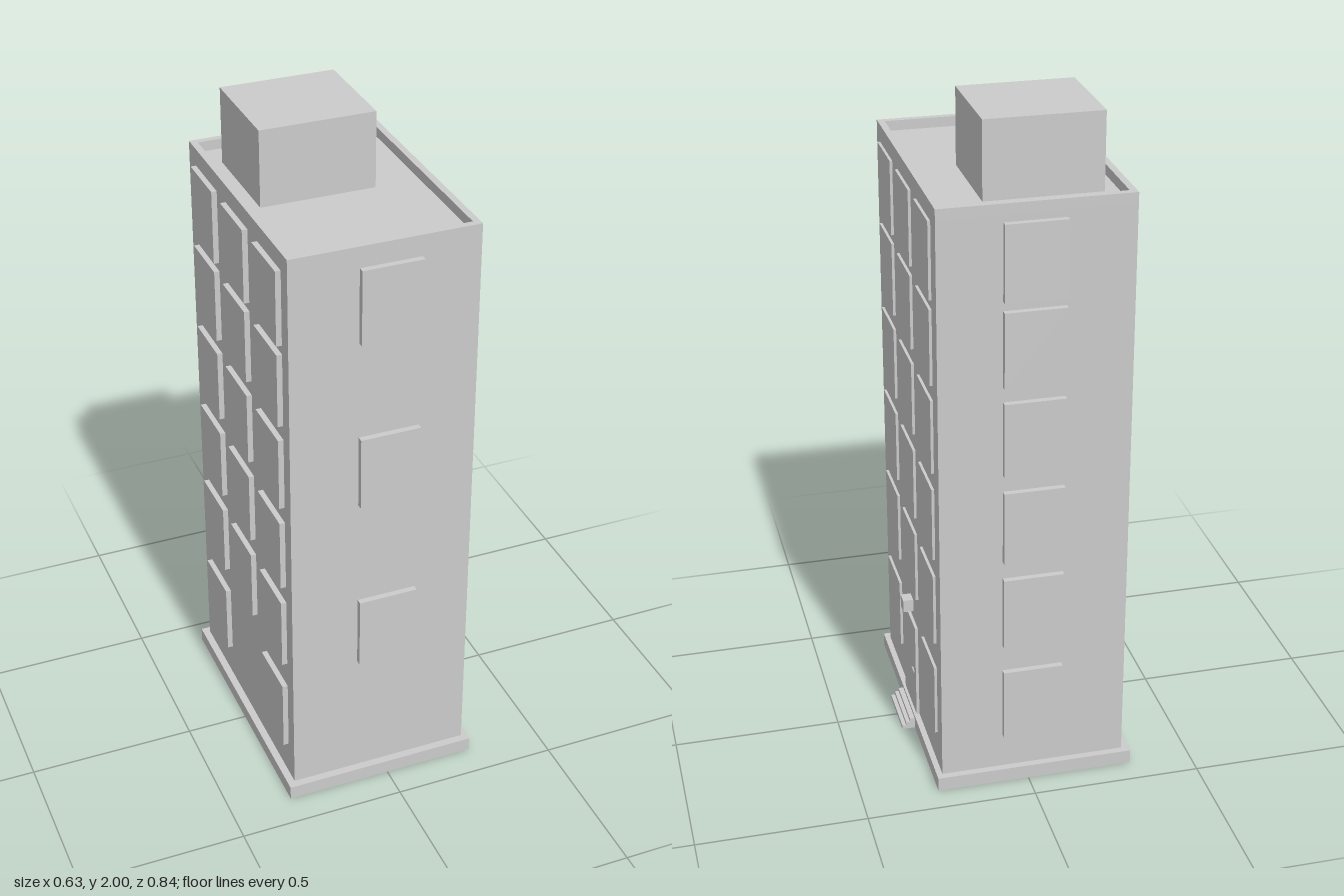
import * as THREE from 'three';

const material = new THREE.MeshStandardMaterial({ color: 0xcccccc, flatShading: true });

// Box given by its extents along each axis
function box(parent, name, [x0, x1], [y0, y1], [z0, z1]) {
  const mesh = new THREE.Mesh(new THREE.BoxGeometry(x1 - x0, y1 - y0, z1 - z0), material);
  mesh.position.set((x0 + x1) / 2, (y0 + y1) / 2, (z0 + z1) / 2);
  mesh.name = name;
  parent.add(mesh);
  return mesh;
}

function group(parent, name) {
  const g = new THREE.Group();
  g.name = name;
  parent.add(g);
  return g;
}

export function createModel() {
  const model = new THREE.Group();
  model.name = 'apartmentTower';

  const wallX = [-0.293, 0.257], wallZ = [-0.399, 0.379];
  const roofY = 1.775, parapetY = 1.805, baseY = 0.043;

  // Plinth and main block
  box(model, 'plinth', [-0.315, 0.274], [0, baseY], [-0.42, 0.403]);
  box(model, 'walls', wallX, [baseY, roofY], wallZ);

  // Parapet rim around the sunken roof
  const rim = 0.02;
  const parapet = group(model, 'parapet');
  const rimY = [roofY, parapetY];
  const innerZ = [wallZ[0] + rim, wallZ[1] - rim];
  box(parapet, 'parapetBack', wallX, rimY, [wallZ[0], innerZ[0]]);
  box(parapet, 'parapetFront', wallX, rimY, [innerZ[1], wallZ[1]]);
  box(parapet, 'parapetRight', [wallX[0], wallX[0] + rim], rimY, innerZ);
  box(parapet, 'parapetLeft', [wallX[1] - rim, wallX[1]], rimY, innerZ);

  // Rooftop stair house
  box(model, 'roofHouse', [-0.232, 0.105], [roofY, 2], [-0.291, 0.018]);

  // Windows: six floors, bottom to top
  const windows = group(model, 'windows');
  const floors = [0.153, 0.46, 1.012 - 0.274, 1.012, 1.28, 1.53];
  const columns = [[-0.342, -0.165], [-0.092, 0.083], [0.157, 0.333]];
  floors.forEach((y, floor) => {
    const span = [y, y + 0.223];
    box(windows, 'backWindow', [-0.101, 0.075], span, [-0.417, wallZ[0]]);
    // The front has windows on every second floor, held just off the wall
    if (floor % 2 === 1) box(windows, 'frontWindow', [-0.1, 0.077], span, [0.398, 0.416]);
    columns.forEach((z, column) => {
      if (floor === 0 && column === 1) return; // entrance bay
      box(windows, 'rightWindow', [-0.309, wallX[0]], span, z);
      box(windows, 'leftWindow', [wallX[1], 0.265], span, z);
    });
  });

  // Entrance on the left side: door, handle, lamp and steps
  const entrance = group(model, 'entrance');
  box(entrance, 'door', [wallX[1], 0.266], [baseY, 0.35], [-0.077, 0.088]);
  box(entrance, 'doorHandle', [0.266, 0.27], [0.183, 0.189], [-0.058, -0.033]);
  box(entrance, 'lamp', [wallX[1], 0.288], [0.375, 0.415], [-0.015, 0.024]);
  [0.289, 0.301, 0.313].forEach((x, i) => {
    const start = i === 0 ? 0.274 : [0.289, 0.301][i - 1];
    box(entrance, 'step', [start, x], [0, 0.034 - i * 0.011], [-0.085, 0.09]);
  });

  return model;
}
